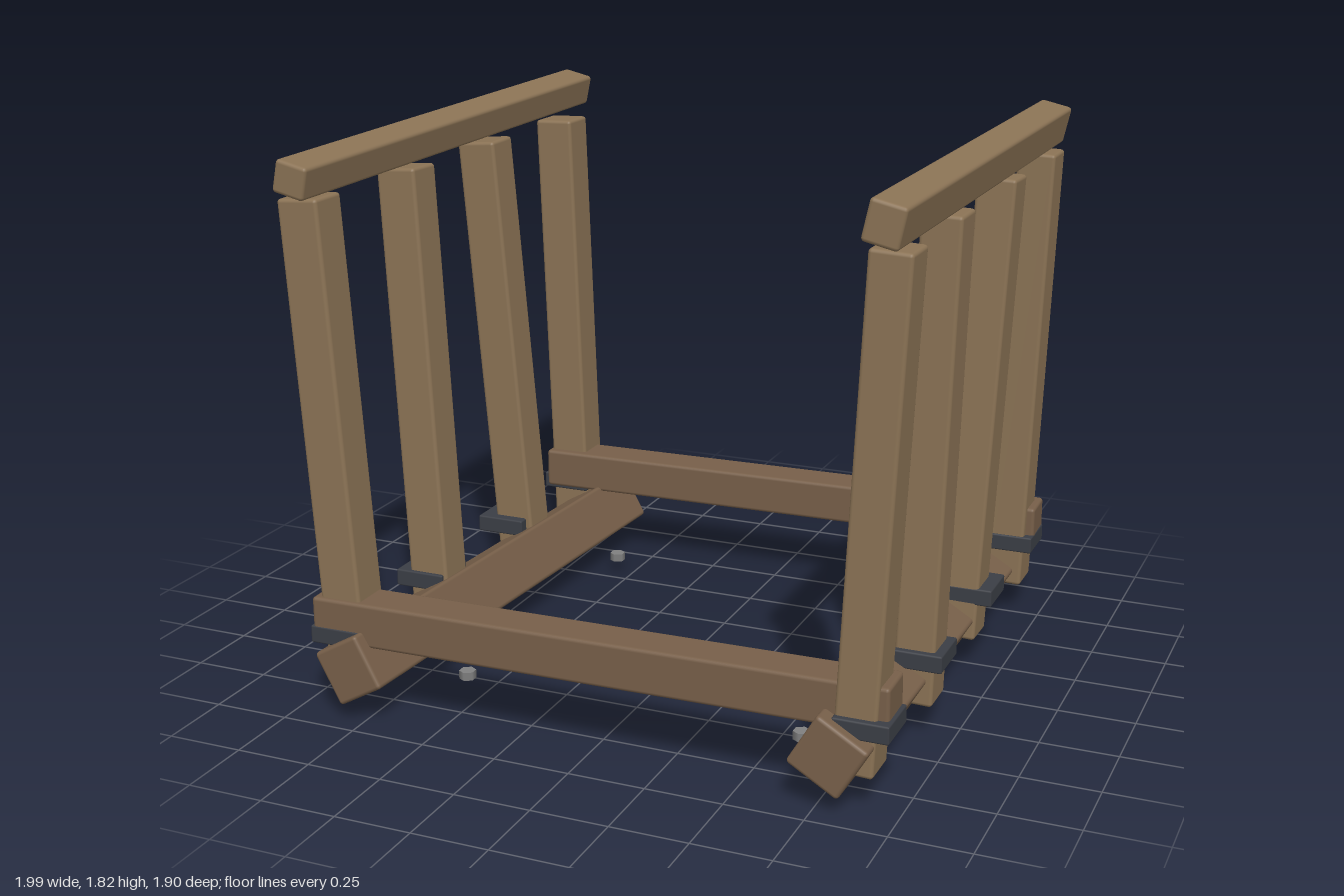
import * as THREE from 'three';
import { RoundedBoxGeometry } from 'three/addons/geometries/RoundedBoxGeometry.js';

const material = (color) => new THREE.MeshStandardMaterial({ color });
const AXES = {
  x: new THREE.Vector3(1, 0, 0),
  y: new THREE.Vector3(0, 1, 0),
  z: new THREE.Vector3(0, 0, 1),
};

// Timber with softened edges, running along one main axis between two end points.
// size holds the box dimensions; the one along the main axis is replaced by the length.
function beam(name, axis, from, to, size, mat, radius = 0.012) {
  const a = new THREE.Vector3(...from);
  const b = new THREE.Vector3(...to);
  const dir = b.clone().sub(a);
  const dims = { x: size[0], y: size[1], z: size[2], [axis]: dir.length() };
  const mesh = new THREE.Mesh(new RoundedBoxGeometry(dims.x, dims.y, dims.z, 2, radius), mat);
  mesh.name = name;
  mesh.position.copy(a).add(b).multiplyScalar(0.5);
  mesh.quaternion.setFromUnitVectors(AXES[axis], dir.normalize());
  return mesh;
}

export function createModel() {
  const model = new THREE.Group();
  model.name = 'timberRack';
  const wood = material(0x8b7355);
  const darkWood = material(0x775f49);
  const iron = material(0x3b3e45);
  const steel = material(0x808080);

  // Ground skids, slightly skewed
  model.add(
    beam('rightSkid', 'z', [-0.795, 0.147, -0.0 + 0.945], [-0.735, 0.112, -0.945], [0.185, 0.175, 0], darkWood),
    beam('leftSkid', 'z', [0.795, 0.153, 0.945], [0.78, 0.098, -0.945], [0.185, 0.185, 0], darkWood),
  );

  // Cross beams resting on the skids
  model.add(
    beam('frontCrossBeam', 'x', [-0.94, 0.288, 0.832], [0.955, 0.292, 0.8], [0, 0.145, 0.145], darkWood),
    beam('backCrossBeam', 'x', [-0.93, 0.29, -0.793], [0.965, 0.292, -0.845], [0, 0.14, 0.145], darkWood),
  );

  // Top rails
  model.add(
    beam('rightRail', 'z', [-0.93, 1.69, 0.915], [-0.87, 1.738, -0.915], [0.105, 0.11, 0], wood),
    beam('leftRail', 'z', [0.915, 1.705, 0.915], [0.93, 1.717, -0.915], [0.125, 0.11, 0], wood),
  );

  // Leaning stakes: [bottom x, bottom z, top x, top z]
  const stakes = {
    right: [
      [-0.825, 0.82, -0.925, 0.82],
      [-0.82, 0.3, -0.915, 0.265],
      [-0.81, -0.31, -0.925, -0.29],
      [-0.84, -0.82, -0.89, -0.82],
    ],
    left: [
      [0.85, 0.815, 0.927, 0.815],
      [0.868, 0.285, 0.915, 0.295],
      [0.85, -0.268, 0.915, -0.315],
      [0.867, -0.815, 0.92, -0.815],
    ],
  };
  const stakeWidth = { right: 0.14, left: 0.13 };
  const bandX = { right: -0.86, left: 0.88 };
  const rows = [0.82, 0.292, -0.288, -0.825];
  for (const side of ['right', 'left']) {
    stakes[side].forEach(([bx, bz, tx, tz], i) => {
      model.add(beam(side + 'Stake' + (i + 1), 'y', [bx, 0.08, bz], [tx, 1.63, tz],
        [stakeWidth[side], 0, 0.14], wood));

      // Iron band around the foot of the stake
      const band = new THREE.Mesh(new RoundedBoxGeometry(0.175, 0.058, 0.172, 1, 0.006), iron);
      band.name = side + 'Band' + (i + 1);
      band.position.set(bandX[side], 0.235, rows[i]);
      model.add(band);
    });
  }

  // Small hexagonal bolts
  for (const x of [-0.57, 0.59]) {
    for (const z of [-0.585, 0.58]) {
      const bolt = new THREE.Mesh(new THREE.CylinderGeometry(0.028, 0.028, 0.028, 6), steel);
      bolt.name = 'bolt';
      bolt.position.set(x, 0.027, z);
      model.add(bolt);
    }
  }

  return model;
}
